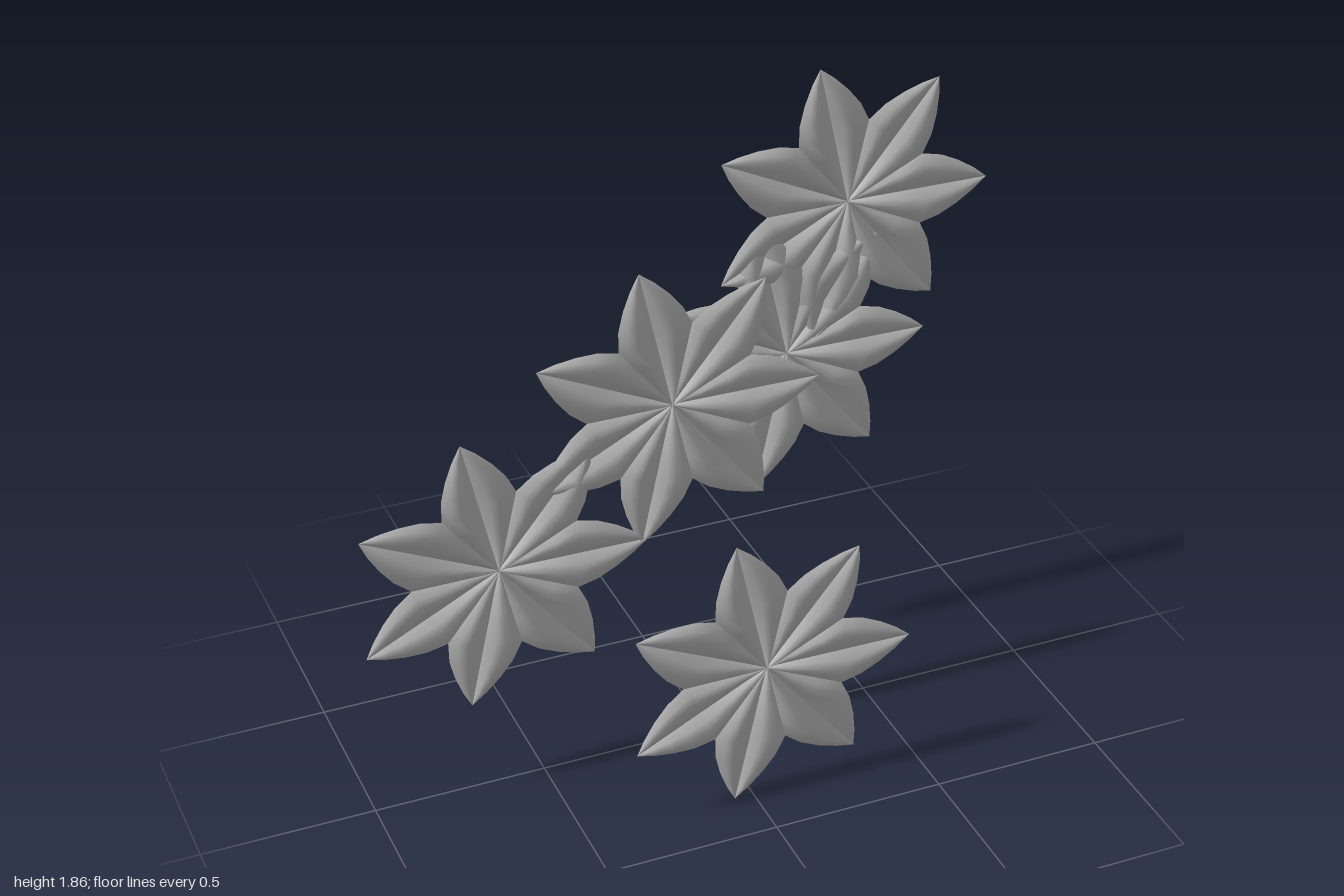
import * as THREE from 'three';
import { mergeGeometries } from 'three/addons/utils/BufferGeometryUtils.js';

const PETALS = 7;

// Petal rows: distance along the midrib, half width, front crease z, front swell, back midrib z, back edge z
const ROWS = [
  [0, 0, -0.008, 0, -0.022, -0.022],
  [0.08, 0.0385, -0.007, 0.01, -0.027, -0.015],
  [0.16, 0.077, -0.005, 0.017, -0.03, -0.006],
  [0.225, 0.1085, -0.004, 0.019, -0.03, 0],
  [0.285, 0.094, -0.003, 0.018, -0.027, 0],
  [0.34, 0.067, -0.002, 0.014, -0.02, 0],
  [0.39, 0.034, -0.001, 0.008, -0.011, 0],
  [0.43, 0, 0, 0, 0, 0],
];

// Front: sharp crease with a swollen blade on each side; back: one rounded belly
const frontZ = (u, row) => row[2] * (1 - Math.abs(u)) + row[3] * Math.sin(Math.PI * Math.abs(u));
const backZ = (u, row) => row[4] + (row[5] - row[4]) * u * u;

// Sheet across the petal from u0 to u1, where u = -1 and 1 are its edges
function sheet(u0, u1, columns, height, facesFront) {
  const positions = [];
  const index = [];
  for (const row of ROWS) {
    for (let c = 0; c <= columns; c++) {
      const u = u0 + ((u1 - u0) * c) / columns;
      positions.push(row[0], row[1] * u, height(u, row));
    }
  }
  for (let r = 0; r < ROWS.length - 1; r++) {
    for (let c = 0; c < columns; c++) {
      const a = r * (columns + 1) + c, b = a + columns + 1;
      if (facesFront) index.push(a, b, b + 1, a, b + 1, a + 1);
      else index.push(a, b + 1, b, a, a + 1, b + 1);
    }
  }
  const geometry = new THREE.BufferGeometry();
  geometry.setAttribute('position', new THREE.Float32BufferAttribute(positions, 3));
  geometry.setIndex(index);
  geometry.computeVertexNormals();
  return geometry;
}

export function createModel() {
  const group = new THREE.Group();
  group.name = 'flowerCluster';
  const material = new THREE.MeshStandardMaterial({ color: 0xcccccc, side: THREE.DoubleSide });
  // Separate front halves keep the crease sharp
  const petalGeometry = mergeGeometries([
    sheet(-1, 0, 4, frontZ, true),
    sheet(0, 1, 4, frontZ, true),
    sheet(-1, 1, 8, backZ, false),
  ]);

  // Flower centres, in three depth layers
  const centres = [
    [-0.61, 0.705, 0.007],
    [-0.10, 1.11, 0.007],
    [0.04, 0.422, 0.338],
    [0.565, 1.44, -0.321],
    [0.385, 0.992, -0.321],
  ];
  centres.forEach((centre, i) => {
    const flower = new THREE.Group();
    flower.name = `flower${i + 1}`;
    flower.position.set(...centre);
    for (let p = 0; p < PETALS; p++) {
      const petal = new THREE.Mesh(petalGeometry, material);
      petal.name = 'petal';
      petal.rotation.z = (p / PETALS) * Math.PI * 2;
      flower.add(petal);
    }
    group.add(flower);
  });
  return group;
}
